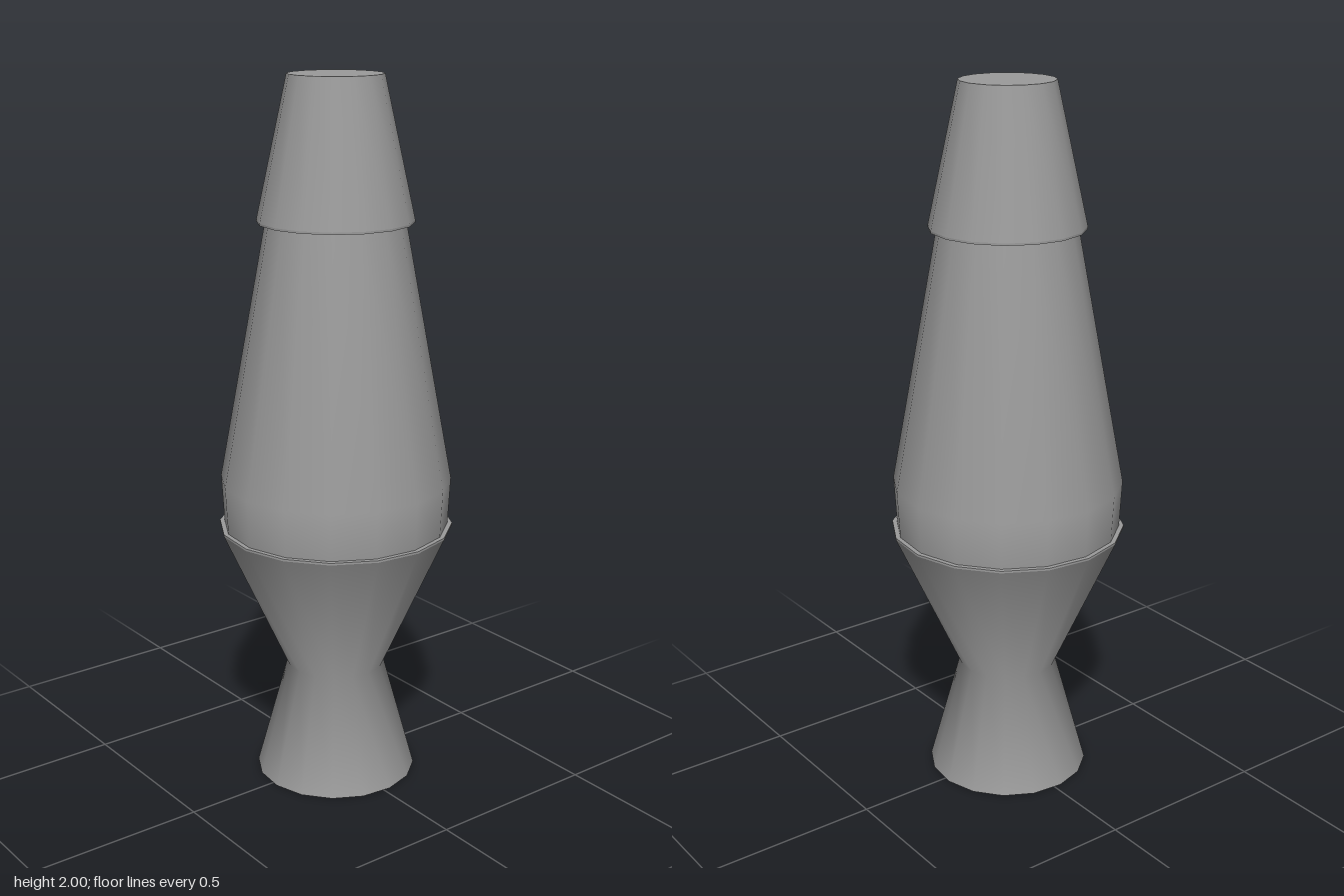
import * as THREE from 'three';

const SIDES = 16;
const TWIST = THREE.MathUtils.degToRad(5.2);

export function createModel() {
  const model = new THREE.Group();
  model.name = 'lavaLamp';
  const material = new THREE.MeshStandardMaterial({ color: 0x9b9b9b });

  // Each part is a group of lathed sections; separate sections keep the edges between them sharp.
  function addPart(name, sections) {
    const part = new THREE.Group();
    part.name = name;
    for (const [label, profile] of Object.entries(sections)) {
      const points = profile.map(([r, y]) => new THREE.Vector2(r, y));
      const geometry = new THREE.LatheGeometry(points, SIDES, TWIST);
      geometry.normalizeNormals(); // even shading up to the last ring
      const mesh = new THREE.Mesh(geometry, material);
      mesh.name = label;
      part.add(mesh);
    }
    model.add(part);
  }

  // Hourglass stand with a thin rim and a narrow ledge around the vessel
  addPart('base', {
    baseBottom: [[0, 0], [0.23, 0]],
    baseWall: [[0.23, 0], [0.14, 0.33], [0.33, 0.75]],
    baseRim: [[0.33, 0.75], [0.33, 0.756]],
    baseLedge: [[0.33, 0.756], [0.315, 0.756]],
  });

  // Tapering glass vessel
  addPart('glass', {
    glassWall: [[0.317, 0.756], [0.324, 0.89], [0.19, 1.615]],
  });

  // Conical cap with a thin rim overhanging the vessel
  addPart('cap', {
    capUnderside: [[0.185, 1.61], [0.214, 1.61]],
    capRim: [[0.214, 1.61], [0.214, 1.616]],
    capWall: [[0.214, 1.616], [0.13, 2]],
    capTop: [[0.13, 2], [0, 2]],
  });

  return model;
}
